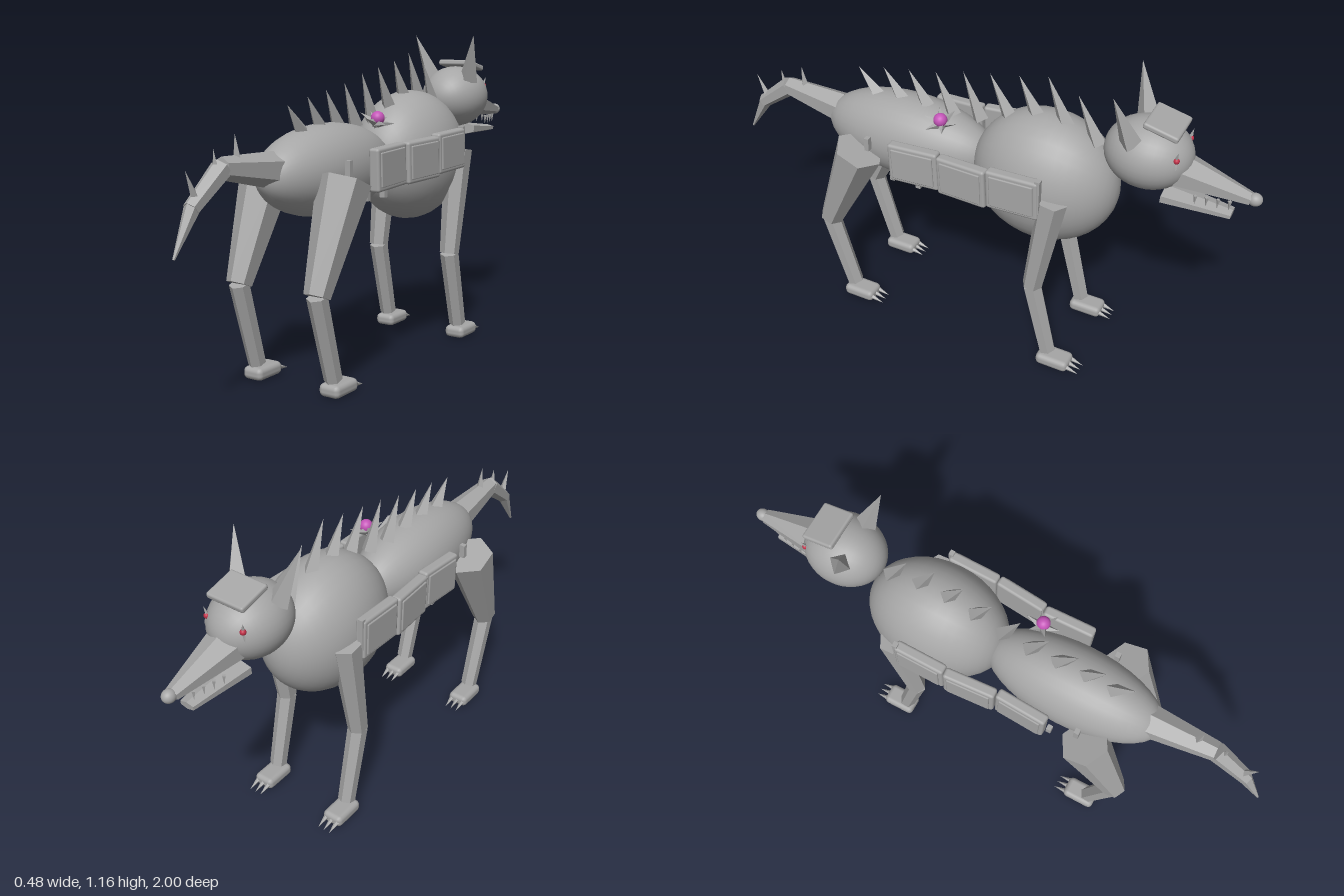
import * as THREE from 'three';
import { RoundedBoxGeometry } from 'three/addons/geometries/RoundedBoxGeometry.js';

const V = (x, y, z) => new THREE.Vector3(x, y, z);
const UP = V(0, 1, 0);

export function createModel() {
  const root = new THREE.Group();
  root.name = 'spinedHound';
  const material = (name, color, flatShading = false) => {
    const m = new THREE.MeshStandardMaterial({ color, flatShading });
    m.name = name;
    return m;
  };
  const grey = material('grey', 0xa6a6a6);
  const greyFlat = material('greyFaceted', 0xa6a6a6, true);
  const pink = material('pink', 0xc455b8);
  const red = material('red', 0xc03048);

  const add = (name, geometry, mat, pos, parent = root) => {
    const mesh = new THREE.Mesh(geometry, mat);
    mesh.name = name;
    mesh.position.copy(pos);
    parent.add(mesh);
    return mesh;
  };
  // Smooth ellipsoid
  const ellipsoid = (name, pos, rx, ry, rz, mat = grey) => {
    const mesh = add(name, new THREE.SphereGeometry(1, 32, 20).rotateX(Math.PI / 2), mat, pos);
    mesh.scale.set(rx, ry, rz);
    return mesh;
  };
  // Faceted tapered limb between two points; depth flattens its second axis
  const taper = (name, a, b, r0, r1, sides = 6, depth = 1, mat = greyFlat) => {
    const dir = b.clone().sub(a);
    const geometry = new THREE.CylinderGeometry(r1, r0, dir.length(), sides);
    const mesh = add(name, geometry, mat, a.clone().add(b).multiplyScalar(0.5));
    mesh.quaternion.setFromUnitVectors(UP, dir.normalize());
    mesh.scale.z = depth;
    return mesh;
  };
  const spike = (name, a, b, r, sides = 4) => taper(name, a, b, r, 0, sides);

  // Body and head
  ellipsoid('chest', V(0, 0.713, -0.272), 0.187, 0.243, 0.263);
  ellipsoid('hindBody', V(0, 0.713, 0.262), 0.143, 0.157, 0.335);
  ellipsoid('head', V(0, 0.917, -0.622), 0.127, 0.12, 0.147);
  taper('snout', V(0, 0.89, -0.7), V(0, 0.845, -0.965), 0.08, 0.026, 6, 0.75);
  ellipsoid('nose', V(0, 0.846, -0.976), 0.022, 0.022, 0.024);
  const jaw = taper('lowerJaw', V(0, 0.782, -0.69), V(0, 0.77, -0.915), 0.06, 0.03, 6, 0.42);
  jaw.name = 'lowerJaw';

  // Brow plate on the skull
  const brow = add('browPlate', new RoundedBoxGeometry(0.145, 0.022, 0.12, 2, 0.008), grey, V(0, 1.04, -0.67));
  brow.rotation.x = -0.23;

  // Spines along the back: base z, base y, tip z, tip y
  const spines = [
    [0.39, 0.84, 0.47, 0.94], [0.29, 0.85, 0.364, 0.962], [0.19, 0.855, 0.262, 0.98],
    [0.085, 0.85, 0.155, 1.0], [-0.02, 0.86, 0.048, 1.03], [-0.13, 0.9, -0.053, 1.05],
    [-0.23, 0.935, -0.16, 1.07], [-0.335, 0.93, -0.262, 1.096], [-0.45, 0.89, -0.37, 1.055],
  ];
  for (const [bz, by, tz, ty] of spines) spike('backSpine', V(0, by, bz), V(0, ty, tz), 0.03);

  // Bent tail with small spines
  taper('tailBase', V(0, 0.74, 0.55), V(0, 0.77, 0.79), 0.06, 0.035);
  taper('tailMiddle', V(0, 0.77, 0.785), V(0, 0.665, 0.92), 0.036, 0.026);
  taper('tailTip', V(0, 0.672, 0.912), V(0, 0.53, 0.995), 0.026, 0.004);
  for (const [bz, by, tz, ty] of [[0.715, 0.785, 0.725, 0.87], [0.81, 0.75, 0.82, 0.83], [0.9, 0.69, 0.94, 0.78]])
    spike('tailSpine', V(0, by, bz), V(0, ty, tz), 0.016);

  // Flower with pointed petals on the left of the back
  const flower = V(0.09, 0.87, 0.088);
  const axis = V(0.35, 0.94, 0).normalize();
  for (let i = 0; i < 6; i++) {
    const t = (i / 6) * Math.PI * 2;
    const out = V(0, 0, 1).multiplyScalar(Math.cos(t))
      .addScaledVector(V(0.94, -0.35, 0), Math.sin(t)).multiplyScalar(0.062).addScaledVector(axis, 0.008);
    spike('petal', flower.clone().addScaledVector(axis, -0.012), flower.clone().add(out), 0.018);
  }
  ellipsoid('flowerCentre', flower.clone().addScaledVector(axis, 0.008), 0.024, 0.024, 0.024, pink);

  // Leg: upper and lower segment, paw and claws
  const leg = (name, s, hip, knee, ankle, rHip, rKnee) => {
    const x = s * 0.16;
    const at = ([z, y]) => V(x, y, z);
    taper(name + 'UpperLeg', at(hip), at(knee), rHip, rKnee);
    taper(name + 'LowerLeg', at(knee), at(ankle), 0.035, 0.031);
    const pz = ankle[0] - 0.03;
    add(name + 'Paw', new RoundedBoxGeometry(0.08, 0.045, 0.125, 2, 0.018), grey, V(x, 0.0225, pz));
    for (const dx of [-0.024, 0, 0.024])
      spike(name + 'Claw', V(x + dx, 0.024, pz - 0.05), V(x + dx, 0.008, pz - 0.105), 0.011, 5);
  };

  for (const s of [-1, 1]) {
    leg('hind', s, [0.385, 0.7], [0.535, 0.348], [0.45, 0.055], 0.09, 0.044);
    leg('fore', s, [-0.365, 0.735], [-0.305, 0.343], [-0.375, 0.055], 0.052, 0.036);

    // Ears and eyes
    spike('ear', V(s * 0.08, 0.985, -0.585), V(s * 0.13, 1.16, -0.53), 0.04);
    spike('eyelid', V(s * 0.07, 0.958, -0.73), V(s * 0.078, 0.992, -0.737), 0.008);
    spike('eyelid', V(s * 0.07, 0.958, -0.73), V(s * 0.082, 0.926, -0.737), 0.008);
    ellipsoid('eye', V(s * 0.072, 0.958, -0.732), 0.01, 0.01, 0.01, red);

    // Teeth between the jaws
    for (let i = 0; i < 4; i++) {
      const z = -0.8 - i * 0.035, x = s * (0.045 - i * 0.007);
      spike('tooth', V(x, 0.83, z), V(x, 0.795, z), 0.007);
    }

    // Flank armour: z, y, x, yaw of each plate
    for (const [z, y, x, yaw] of [[0.148, 0.72, 0.175, 0.04], [-0.045, 0.726, 0.186, -0.08], [-0.235, 0.741, 0.19, 0]]) {
      const plate = add('flankPlate', new RoundedBoxGeometry(0.04, 0.148, 0.19, 2, 0.01), grey, V(s * x, y, z));
      plate.rotation.set(0.04, s * yaw, 0);
      add('plateFace', new RoundedBoxGeometry(0.01, 0.118, 0.16, 1, 0.004), grey, V(s * 0.02, 0, 0), plate);
    }
    // Straps and pins of the armour
    for (const [z, y, h] of [[0.35, 0.735, 0.05], [0.25, 0.63, 0.03], [0.145, 0.632, 0.035], [-0.325, 0.76, 0.13]])
      add('strapPin', new THREE.BoxGeometry(0.02, h, 0.018), greyFlat, V(s * (h > 0.1 ? 0.195 : 0.155), y, z));
  }
  return root;
}
